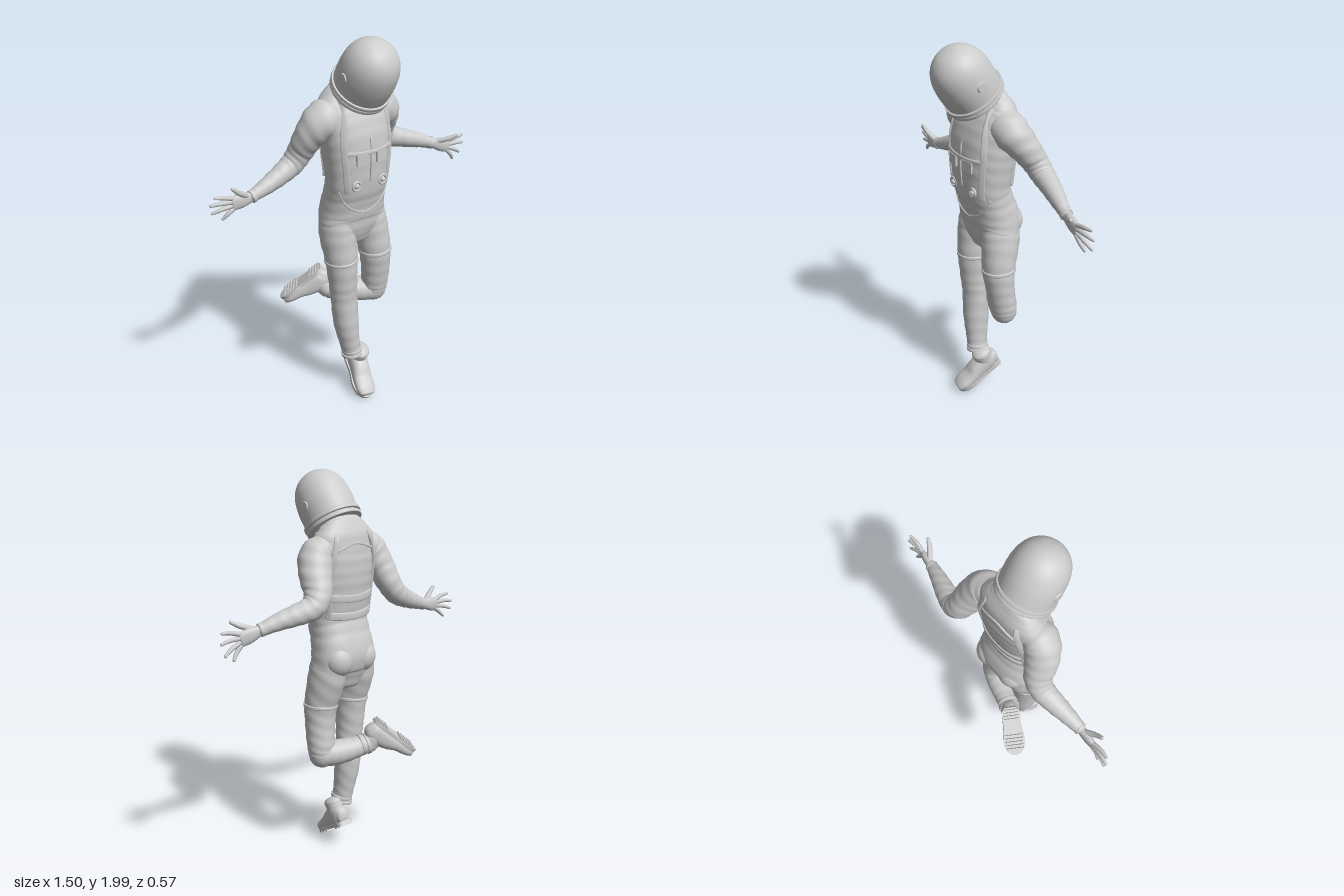
import * as THREE from 'three';

const V = (x, y, z) => new THREE.Vector3(x, y, z);
const X = V(1, 0, 0), Y = V(0, 1, 0);
const material = new THREE.MeshStandardMaterial({ color: 0xcccccc, side: THREE.DoubleSide });

function add(parent, name, geometry) {
  const mesh = new THREE.Mesh(geometry, material);
  mesh.name = name;
  parent.add(mesh);
  return mesh;
}

// Sweep rounded sections through rows of [x, y, z, a, b]; a lies along ref, b across it.
function sweep(rows, { ref = X, n = 2, sides = 28, steps = 8, wrinkle = 0, cap = 0.5 } = {}) {
  const path = new THREE.CatmullRomCurve3(rows.map(r => V(r[0], r[1], r[2])), false, 'catmullrom');
  const size = new THREE.CatmullRomCurve3(rows.map(r => V(r[3], r[4], 0)), false, 'catmullrom');
  const count = (rows.length - 1) * steps, rings = [];
  for (let k = 0; k < 5; k++) rings.push([0, k / 5 * Math.PI / 2, -1]);
  for (let i = 0; i <= count; i++) rings.push([i / count, Math.PI / 2, 0]);
  for (let k = 4; k >= 0; k--) rings.push([1, k / 5 * Math.PI / 2, 1]);
  const pos = [], index = [];
  rings.forEach(([t, angle, dir], i) => {
    const p = path.getPoint(t), T = path.getTangent(t), s = size.getPoint(t);
    const r = typeof ref === 'function' ? ref(p) : ref;
    const A = r.clone().addScaledVector(T, -r.dot(T)).normalize();
    const B = T.clone().cross(A);
    p.addScaledVector(T, dir * Math.cos(angle) * Math.min(s.x, s.y) * cap);
    for (let j = 0; j < sides; j++) {
      const q = j / sides * Math.PI * 2, c = Math.cos(q), d = Math.sin(q);
      const fold = 1 + wrinkle * Math.sin(t * rows.length * 9 + 2.3 * Math.sin(q) + Math.cos(2 * q));
      const f = Math.sin(angle) * fold;
      const v = p.clone()
        .addScaledVector(A, s.x * f * Math.sign(c) * Math.abs(c) ** (2 / n))
        .addScaledVector(B, s.y * f * Math.sign(d) * Math.abs(d) ** (2 / n));
      pos.push(v.x, v.y, v.z);
      if (i < rings.length - 1) {
        const a = i * sides + j, b = i * sides + (j + 1) % sides;
        index.push(a, b, a + sides, b, b + sides, a + sides);
      }
    }
  });
  const g = new THREE.BufferGeometry();
  g.setAttribute('position', new THREE.Float32BufferAttribute(pos, 3));
  g.setIndex(index);
  g.computeVertexNormals();
  return g;
}

// Torso sections: x, y, z, half width, half depth
const torsoRows = [
  [0, 0.95, -0.005, 0.11, 0.08], [-0.005, 1.02, -0.005, 0.178, 0.105], [-0.005, 1.1, -0.01, 0.175, 0.122],
  [-0.008, 1.2, 0.015, 0.163, 0.115], [-0.01, 1.28, 0.035, 0.162, 0.116], [-0.01, 1.4, 0.032, 0.172, 0.128],
  [-0.01, 1.5, 0.025, 0.18, 0.13], [-0.012, 1.6, 0.01, 0.188, 0.115], [-0.014, 1.68, -0.005, 0.178, 0.088],
  [-0.015, 1.735, 0, 0.135, 0.065], [-0.015, 1.77, 0.01, 0.09, 0.05]];
const N = 2.4;

// Point on the torso at (x, y), on the front (side 1) or back (side -1)
function onTorso(x, y, side) {
  let k = 0;
  while (k < torsoRows.length - 2 && torsoRows[k + 1][1] < y) k++;
  const a = torsoRows[k], b = torsoRows[k + 1], f = (y - a[1]) / (b[1] - a[1]);
  const [cx, , cz, rx, rz] = a.map((v, i) => v + (b[i] - v) * f);
  const u = Math.min(1, Math.abs(x - cx) / rx);
  return V(x, y, cz + side * rz * (1 - u ** N) ** (1 / N));
}

// Flat strap laid over the torso through [x, y] points
function strap(parent, name, points, side, half, thick = 0.009) {
  const curve = new THREE.SplineCurve(points.map(p => new THREE.Vector2(...p)));
  const rows = curve.getPoints(14).map(p => [...onTorso(p.x, p.y, side).toArray(), thick, half]);
  const outward = p => V((p.x + 0.01) * 0.7, 0, p.z - 0.02);
  add(parent, name, sweep(rows, { ref: outward, n: 4, sides: 12, steps: 2 }));
}

// Band around a limb: centre, axis and radii
function band(parent, name, p, axis, a, b, height, ref = X) {
  const d = V(...axis).normalize().multiplyScalar(height / 2), c = V(...p);
  const ends = [c.clone().sub(d), c, c.clone().add(d)];
  add(parent, name, sweep(ends.map(e => [...e.toArray(), a, b]), { ref, steps: 2, cap: 0.08 }));
}

// Boot: toe along local +z, sole on local y = 0
function boot(name, origin, toe, up) {
  const g = new THREE.Group();
  g.name = name;
  const z = V(...toe).normalize(), x = V(...up).cross(z).normalize();
  g.applyMatrix4(new THREE.Matrix4().makeBasis(x, z.clone().cross(x), z).setPosition(...origin));
  add(g, 'bootUpper', sweep([
    [0, 0.052, -0.066, 0.034, 0.042], [0, 0.06, -0.04, 0.045, 0.054], [0, 0.062, 0, 0.049, 0.056],
    [0, 0.055, 0.05, 0.05, 0.05], [0, 0.043, 0.1, 0.053, 0.038], [0, 0.037, 0.16, 0.053, 0.03],
    [0, 0.033, 0.192, 0.042, 0.022]], { n: 2.5 }));
  add(g, 'bootShaft', sweep([[0, 0.05, -0.012, 0.048, 0.055], [0, 0.1, -0.018, 0.047, 0.053],
    [0, 0.14, -0.022, 0.049, 0.054]], { wrinkle: 0.012 }));
  const s = new THREE.Shape();
  s.moveTo(-0.03, 0.075);
  s.bezierCurveTo(-0.06, 0.06, -0.042, 0, -0.05, -0.07);
  s.bezierCurveTo(-0.07, -0.13, -0.055, -0.205, 0, -0.21);
  s.bezierCurveTo(0.055, -0.205, 0.07, -0.13, 0.05, -0.07);
  s.bezierCurveTo(0.042, 0, 0.06, 0.06, 0.03, 0.075);
  const sole = new THREE.ExtrudeGeometry(s, { depth: 0.018, bevelEnabled: false, curveSegments: 10 });
  add(g, 'sole', sole.rotateX(-Math.PI / 2).translate(0, 0.005, 0));
  for (const tz of [-0.06, -0.042, -0.024, -0.006, 0.09, 0.11, 0.13, 0.15, 0.17])
    add(g, 'tread', new THREE.BoxGeometry(tz > 0 ? 0.098 : 0.08, 0.012, 0.011)).position.set(0, 0.002, tz);
  return g;
}

// Hand: palm from wrist to knuckles, then four fingers and a thumb (last tip)
function hand(name, wrist, knuckles, tips) {
  const g = new THREE.Group();
  g.name = name;
  const w = V(...wrist), k = V(...knuckles), mid = w.clone().lerp(k, 0.55);
  add(g, 'palm', sweep([[...wrist, 0.025, 0.021], [...mid.toArray(), 0.036, 0.02],
    [...knuckles, 0.035, 0.014]], { ref: Y, n: 2.3, sides: 18 }));
  tips.forEach((tip, i) => {
    const t = V(...tip), thumb = i === 4;
    const base = thumb ? w.clone().lerp(k, 0.3).add(V(0, 0.018, 0.006)) : k.clone().add(V(0, 0.027 - i * 0.018, 0));
    const bend = base.clone().lerp(t, 0.55).add(V(0, thumb ? -0.004 : 0.004, 0.004));
    const r = thumb ? 0.013 : 0.0105;
    add(g, thumb ? 'thumb' : 'finger', sweep([[...base.toArray(), r * 1.1, r * 1.1], [...bend.toArray(), r, r],
      [...tip, r * 0.7, r * 0.7]], { ref: V(0, 0.3, 1), sides: 10, steps: 4, cap: 1 }));
  });
  return g;
}

export function createModel() {
  const model = new THREE.Group();
  model.name = 'spacesuitFigure';

  // Helmet, tilted forward with its rim
  const helmet = new THREE.Group();
  helmet.name = 'helmet';
  helmet.position.set(-0.015, 1.735, 0.065);
  helmet.rotation.x = 0.607;
  helmet.scale.z = 1.04;
  const lathe = pts => new THREE.LatheGeometry(pts.map(p => new THREE.Vector2(...p)), 48);
  const dome = new THREE.SplineCurve([[0.134, 0], [0.138, 0.05], [0.139, 0.12], [0.128, 0.19], [0.1, 0.243],
    [0.053, 0.278], [0, 0.288]].map(p => new THREE.Vector2(...p)));
  add(helmet, 'helmetShell', new THREE.LatheGeometry(dome.getPoints(36), 48));
  for (const [y, r] of [[-0.012, 0.142], [0.012, 0.146]])
    add(helmet, 'helmetRim', lathe([[0.11, y], [r - 0.003, y], [r, y + 0.003], [r, y + 0.017], [r - 0.003, y + 0.02], [0.11, y + 0.02]]));
  for (const s of [-1, 1]) {
    const disc = add(helmet, 'sideCap', new THREE.CylinderGeometry(0.022, 0.026, 0.008, 24));
    disc.rotation.z = -s * Math.PI / 2;
    disc.position.set(s * 0.139, 0.11, 0);
  }
  model.add(helmet);
  add(model, 'neck', sweep([[-0.015, 1.68, 0.01, 0.1, 0.07], [-0.015, 1.735, 0.055, 0.118, 0.105]]));

  // Torso and harness
  const torso = new THREE.Group();
  torso.name = 'torso';
  model.add(torso);
  add(torso, 'suitBody', sweep(torsoRows, { n: N, sides: 48, wrinkle: 0.006 }));
  for (const s of [-1, 1]) {
    const m = pts => pts.map(([x, y]) => [-0.01 + s * x, y]);
    strap(torso, 'frontStrap', m([[0.11, 1.7], [0.125, 1.6], [0.135, 1.48], [0.125, 1.36], [0.115, 1.25]]), 1, 0.017);
    strap(torso, 'collarSeam', m([[0.09, 1.7], [0.05, 1.62], [0.004, 1.56]]), 1, 0.006, 0.005);
    strap(torso, 'backStrap', m([[0.1, 1.71], [0.13, 1.6], [0.14, 1.48], [0.135, 1.3]]), -1, 0.014);
    const valve = add(torso, 'valve', new THREE.TorusGeometry(0.022, 0.007, 10, 24));
    valve.position.copy(onTorso(-0.01 + s * 0.078, 1.285, 1)).z += 0.004;
    const core = add(torso, 'valveCore', new THREE.SphereGeometry(0.014, 16, 10));
    core.position.copy(valve.position);
    const pocket = add(torso, 'chestPocket', new THREE.BoxGeometry(0.06, 0.055, 0.02));
    pocket.position.copy(onTorso(-0.01 + s * 0.055, 1.42, 1));
    pocket.rotation.y = s * 0.15;
    const cheek = add(torso, 'buttock', new THREE.SphereGeometry(1, 24, 16));
    cheek.scale.set(0.08, 0.085, 0.075);
    cheek.position.set(s * 0.078, 1.08, -0.062);
  }
  strap(torso, 'frontClosure', [[-0.01, 1.56], [-0.01, 1.45], [-0.01, 1.3]], 1, 0.007, 0.007);
  strap(torso, 'chestStrap', [[-0.14, 1.455], [-0.01, 1.45], [0.12, 1.455]], 1, 0.011);
  strap(torso, 'bellySeam', [[-0.155, 1.25], [-0.115, 1.17], [-0.01, 1.12], [0.095, 1.17], [0.135, 1.25]], 1, 0.005, 0.005);
  for (const y of [1.3, 1.39])
    strap(torso, 'backBelt', [[-0.15, y + 0.01], [-0.01, y], [0.13, y + 0.01]], -1, 0.02);
  strap(torso, 'backYoke', [[-0.12, 1.63], [-0.01, 1.66], [0.1, 1.63]], -1, 0.006, 0.005);

  // Arms, with the elbows swung back
  const cloth = { wrinkle: 0.022 };
  add(model, 'rightArm', sweep([[-0.12, 1.635, 0.005, 0.07, 0.08], [-0.19, 1.6, 0.005, 0.085, 0.092], [-0.237, 1.52, -0.035, 0.08, 0.074],
    [-0.26, 1.44, -0.075, 0.068, 0.064], [-0.3, 1.378, -0.09, 0.06, 0.058], [-0.37, 1.34, -0.085, 0.053, 0.05],
    [-0.46, 1.305, -0.075, 0.042, 0.04], [-0.545, 1.277, -0.068, 0.03, 0.028]], { ref: V(-0.5, 0.5, 0.7), ...cloth }));
  add(model, 'leftArm', sweep([[0.095, 1.635, 0.005, 0.07, 0.08], [0.165, 1.6, 0, 0.085, 0.09], [0.213, 1.52, -0.05, 0.08, 0.074],
    [0.24, 1.445, -0.095, 0.068, 0.064], [0.285, 1.39, -0.108, 0.06, 0.058], [0.36, 1.365, -0.09, 0.053, 0.05],
    [0.45, 1.34, -0.06, 0.042, 0.04], [0.54, 1.31, -0.032, 0.03, 0.028]], { ref: V(0.5, 0.5, 0.7), ...cloth }));
  band(model, 'rightCuff', [-0.54, 1.278, -0.068], [-1, -0.3, 0.1], 0.033, 0.031, 0.016, Y);
  band(model, 'leftCuff', [0.535, 1.312, -0.034], [1, -0.3, 0.3], 0.033, 0.031, 0.016, Y);
  model.add(hand('rightHand', [-0.545, 1.277, -0.068], [-0.64, 1.262, -0.078],
    [[-0.725, 1.31, -0.085], [-0.742, 1.27, -0.1], [-0.735, 1.23, -0.1], [-0.69, 1.193, -0.09], [-0.652, 1.352, -0.045]]));
  model.add(hand('leftHand', [0.54, 1.31, -0.032], [0.635, 1.277, -0.012],
    [[0.73, 1.322, -0.005], [0.74, 1.275, -0.012], [0.728, 1.22, -0.02], [0.682, 1.193, -0.02], [0.647, 1.352, 0.042]]));

  // Standing right leg
  add(model, 'rightLeg', sweep([[-0.095, 1.08, -0.01, 0.085, 0.1], [-0.102, 0.98, 0, 0.092, 0.102], [-0.097, 0.84, 0.024, 0.084, 0.085],
    [-0.09, 0.7, 0.027, 0.075, 0.075], [-0.083, 0.6, 0.027, 0.072, 0.068], [-0.073, 0.45, 0.03, 0.067, 0.07],
    [-0.058, 0.33, 0.037, 0.055, 0.06], [-0.045, 0.25, 0.044, 0.049, 0.053]], { wrinkle: 0.014 }));
  band(model, 'thighBand', [-0.097, 0.835, 0.024], [0.05, -1, 0.02], 0.088, 0.089, 0.014);
  for (const y of [0.245, 0.27])
    band(model, 'ankleBand', [-0.046, y, 0.043], [0.15, -1, 0.1], 0.055, 0.059, 0.015);
  model.add(boot('rightBoot', [0.0, 0.117, 0.0], [-0.2, -0.52, 0.83], [0, 0.83, 0.52]));

  // Left leg, bent back at the knee and crossing behind
  add(model, 'leftThigh', sweep([[0.085, 1.08, -0.01, 0.085, 0.1], [0.1, 0.98, 0, 0.09, 0.102], [0.118, 0.84, 0.024, 0.085, 0.085],
    [0.128, 0.72, 0.02, 0.078, 0.074], [0.134, 0.62, 0.006, 0.073, 0.07], [0.134, 0.572, 0, 0.069, 0.066]], { wrinkle: 0.014, cap: 1 }));
  add(model, 'leftShin', sweep([[0.134, 0.577, 0, 0.068, 0.068], [0.06, 0.577, -0.035, 0.066, 0.067],
    [-0.03, 0.587, -0.072, 0.056, 0.058], [-0.1, 0.605, -0.104, 0.05, 0.05]], { ref: Y, wrinkle: 0.014, cap: 0.9 }));
  band(model, 'thighBand', [0.119, 0.835, 0.024], [0.08, -1, -0.02], 0.089, 0.089, 0.014);
  for (const t of [0, 0.025])
    band(model, 'ankleBand', [-0.09 + t, 0.602 - t * 0.15, -0.1 + t * 0.45], [-0.85, 0.2, -0.4], 0.056, 0.056, 0.015, Y);
  model.add(boot('leftBoot', [-0.178, 0.692, -0.163], [-0.64, -0.64, -0.44], [0.51, -0.77, 0.38]));

  return model;
}
